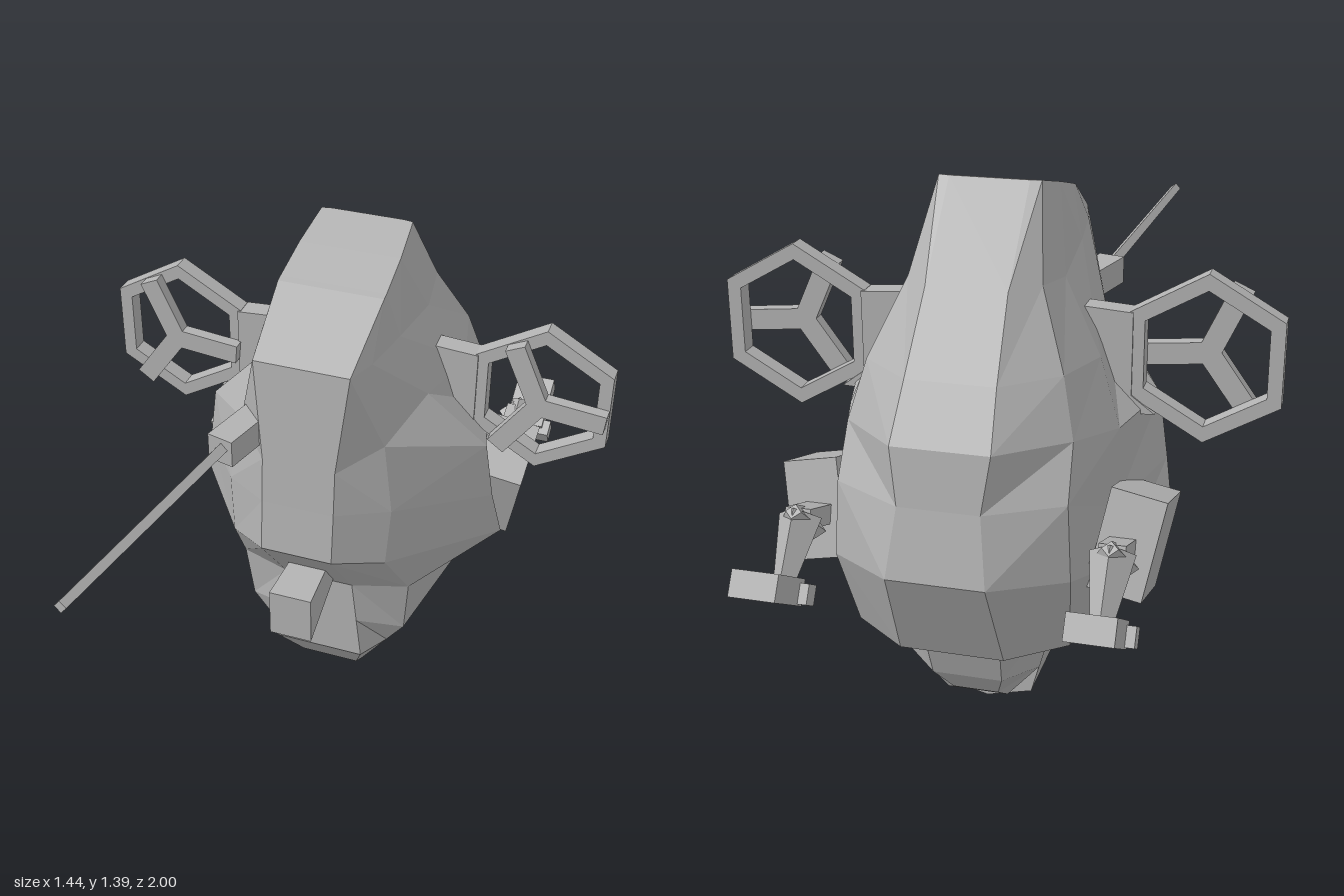
import * as THREE from 'three';

const hull = new THREE.MeshStandardMaterial({ color: 0xb2b2b2, flatShading: true });
hull.name = 'hullGrey';

function mesh(name, geo, parent, x = 0, y = 0, z = 0) {
  const m = new THREE.Mesh(geo, hull);
  m.name = name;
  m.position.set(x, y, z);
  parent.add(m);
  return m;
}

const box = (w, h, d) => new THREE.BoxGeometry(w, h, d);

// Symmetric faceted solid: each ring lists its +x half from front to back, rings run top to bottom.
function loft(halfRings) {
  const rings = halfRings.map(r => [...r, ...r.map(([x, y, z]) => [-x, y, z]).reverse()]);
  const n = rings[0].length, half = n / 2, pos = [];
  // The mirrored half splits its quads along the mirrored diagonal
  const quad = (a, b, c, d, flip = false) => flip
    ? pos.push(...a, ...b, ...d, ...b, ...c, ...d)
    : pos.push(...a, ...b, ...c, ...a, ...c, ...d);
  for (let i = 0; i < rings.length - 1; i++)
    for (let j = 0; j < n; j++) {
      const k = (j + 1) % n;
      quad(rings[i][j], rings[i + 1][j], rings[i + 1][k], rings[i][k], j >= half);
    }
  const top = rings[0], bot = rings[rings.length - 1];
  for (let j = 0; j < half - 1; j++) {
    quad(top[j], top[j + 1], top[n - 2 - j], top[n - 1 - j]);
    quad(bot[n - 1 - j], bot[n - 2 - j], bot[j + 1], bot[j]);
  }
  const g = new THREE.BufferGeometry();
  g.setAttribute('position', new THREE.Float32BufferAttribute(pos, 3));
  g.computeVertexNormals();
  return g;
}

// Square bar between two points
function bar(name, a, b, r0, r1, parent) {
  const A = new THREE.Vector3(...a), B = new THREE.Vector3(...b);
  const d = B.clone().sub(A);
  const m = mesh(name, new THREE.CylinderGeometry(r1, r0, d.length(), 4), parent);
  m.position.copy(A).add(B).multiplyScalar(0.5);
  m.quaternion.setFromUnitVectors(new THREE.Vector3(0, 1, 0), d.normalize());
}

function hexPath(path, r) {
  for (let i = 0; i < 6; i++) {
    const a = Math.PI / 2 + i * Math.PI / 3;
    path[i ? 'lineTo' : 'moveTo'](r * Math.cos(a), r * Math.sin(a));
  }
  path.closePath();
  return path;
}

// Six-sided rotor guard with three blades in front of it
function rotor(side) {
  const g = new THREE.Group();
  g.name = 'rotor';
  g.position.set(side * 0.53, 0.968, 0);
  const s = hexPath(new THREE.Shape(), 0.217);
  s.holes.push(hexPath(new THREE.Path(), 0.175));
  mesh('rotorGuard', new THREE.ExtrudeGeometry(s, { depth: 0.05, bevelEnabled: false }), g, 0, 0, -0.33);
  for (let i = 0; i < 3; i++) {
    const blade = mesh('rotorBlade', box(0.185, 0.056, 0.035).translate(0.0925, 0, 0), g, 0, 0, -0.262);
    blade.rotation.z = -0.1 + i * Math.PI * 2 / 3;
  }
  return g;
}

// Parts repeated on both sides, built for +x
function sideParts() {
  const g = new THREE.Group();
  g.name = 'sideEquipment';
  const plate = new THREE.Shape([[0.2, 1.085], [0.35, 1.075], [0.35, 0.86], [0.41, 0.815], [0.3, 0.81]]
    .map(p => new THREE.Vector2(...p)));
  mesh('rotorMount', new THREE.ExtrudeGeometry(plate, { depth: 0.06, bevelEnabled: false }), g, 0, 0, -0.335);

  const pod = mesh('sidePod', box(0.14, 0.25, 0.225), g, 0.395, 0.55, -0.49);
  pod.rotation.set(0.3, 0, -0.18);

  // Jointed arm and its gun
  const arm = mesh('armLink', box(0.065, 0.05, 0.16), g, 0.385, 0.595, -0.655);
  arm.rotation.x = 0.35;
  bar('armJoint', [0.385, 0.65, -0.75], [0.385, 0.58, -0.7], 0.02, 0.06, g);
  bar('foreArm', [0.385, 0.62, -0.71], [0.385, 0.49, -0.84], 0.055, 0.025, g);
  const gun = mesh('gunBody', box(0.115, 0.065, 0.17), g, 0.39, 0.53, -0.912);
  gun.rotation.x = 0.55;
  const cross = mesh('gunCrossbar', box(0.16, 0.05, 0.05), g, 0.39, 0.485, -0.845);
  cross.rotation.x = 0.55;
  return g;
}

export function createModel() {
  const model = new THREE.Group();
  model.name = 'craft';

  // Main shell: flat-fronted crest, wide cheeks and a narrower rear half behind them
  mesh('shell', loft([
    [[.144, 1.32, -.07], [.144, 1.325, -.09], [.14, 1.36, -.22], [.13, 1.39, -.34], [.128, 1.395, -.36], [.1, 1.395, -.365]],
    [[.13, 1.21, .15], [.155, 1.2, .05], [.175, 1.19, -.12], [.185, 1.16, -.35], [.165, 1.18, -.5], [.1, 1.18, -.57]],
    [[.1, .93, .175], [.2, .97, .07], [.25, 1.01, -.15], [.285, .98, -.4], [.24, 1, -.6], [.11, 1, -.71]],
    [[.1, .8, .185], [.23, .78, .09], [.405, .83, -.22], [.345, .82, -.45], [.275, .86, -.65], [.12, .87, -.8]],
    [[.1, .65, .2], [.22, .61, .1], [.43, .66, -.23], [.345, .62, -.47], [.28, .73, -.72], [.1, .73, -.82]],
    [[.1, .43, .02], [.25, .42, -.04], [.455, .51, -.27], [.36, .46, -.45], [.29, .54, -.73], [.12, .56, -.86]],
    [[.115, .3, .02], [.235, .245, -.06], [.33, .36, -.35], [.3, .32, -.43], [.27, .315, -.64], [.13, .31, -.74]],
  ]), model);

  // Snout, jaw and tail under the shell
  mesh('snout', loft([
    [[.115, .3, .02], [.235, .245, -.06], [.25, .32, -.3]],
    [[.13, .17, .02], [.185, .18, -.06], [.19, .22, -.24]],
    [[.085, .04, -.08], [.1, .05, -.09], [.12, .16, -.19]],
  ]), model);
  mesh('jaw', loft([
    [[.17, .36, -.2], [.2, .36, -.3], [.18, .36, -.43]],
    [[.15, .13, -.17], [.165, .14, -.3], [.15, .14, -.43]],
    [[.115, .055, -.23], [.12, .04, -.3], [.12, .03, -.43]],
    [[0, .045, -.23], [0, .03, -.3], [0, 0, -.43]],
  ]), model);
  mesh('tail', loft([
    [[.12, .36, -.43], [.22, .36, -.55], [.1, .36, -.68]],
    [[.1, .17, -.47], [.17, .18, -.54], [.09, .17, -.615]],
    [[.07, .085, -.5], [.08, .07, -.52], [.06, .085, -.54]],
  ]), model);
  mesh('tailHub', new THREE.CylinderGeometry(0.1, 0.1, 0.18, 8), model, 0, 0.25, -0.42);

  // Nose block, narrower at its root
  mesh('noseBlock', loft([
    [[.06, .543, .25], [.05, .55, .02]],
    [[.06, .4, .25], [.05, .46, .02]],
  ]), model);

  // Antenna on the model's right
  const base = mesh('antennaBase', box(0.075, 0.075, 0.18), model, -0.155, 1.0, 0.18);
  base.rotation.y = -0.25;
  bar('antenna', [-.17, 1.005, .25], [-.24, 1.06, 1], 0.018, 0.016, model);

  // Both sides
  const left = sideParts(), right = sideParts();
  right.scale.x = -1;
  model.add(left, right, rotor(1), rotor(-1));
  return model;
}
